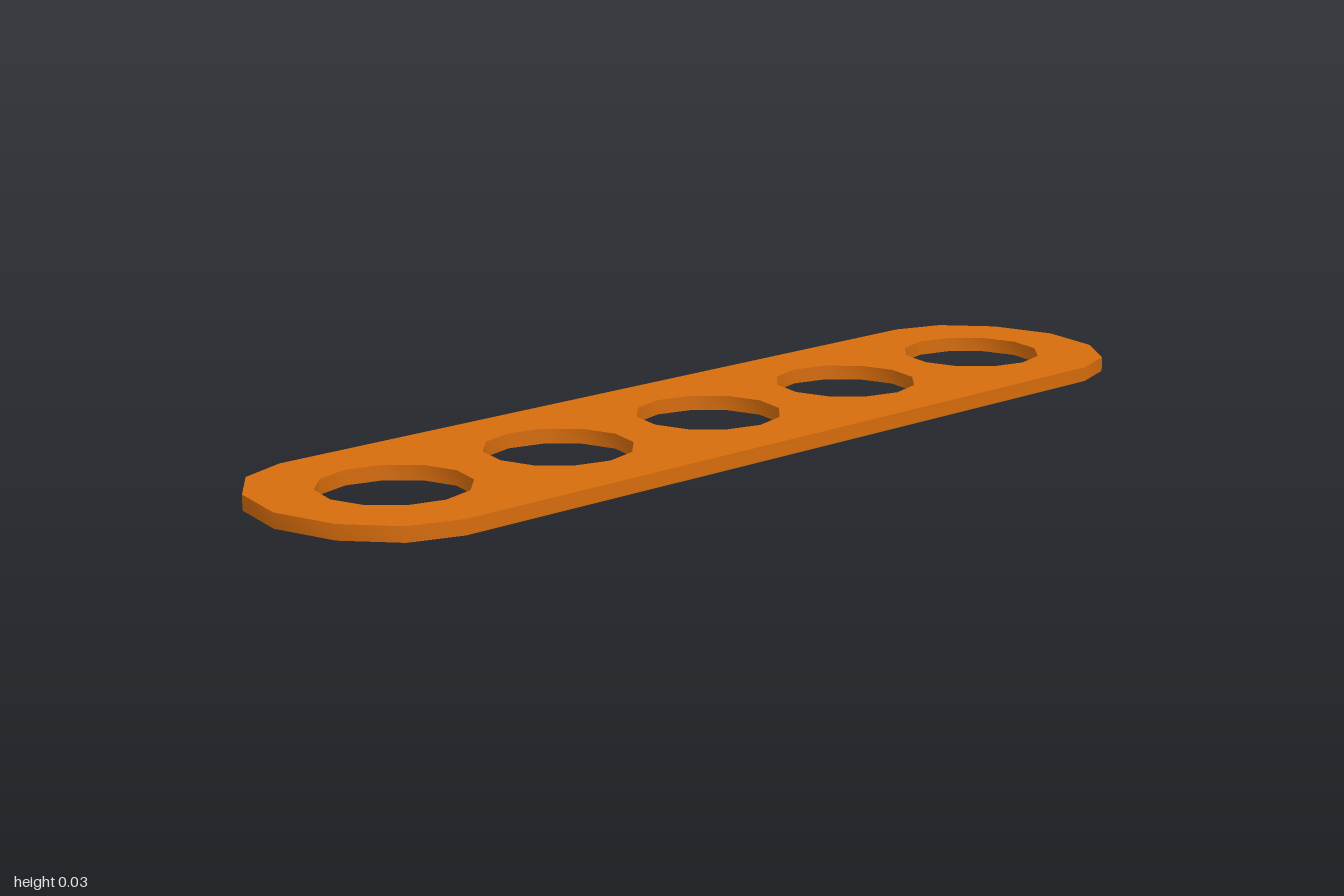
import * as THREE from 'three';
import { toCreasedNormals } from 'three/addons/utils/BufferGeometryUtils.js';

const THICKNESS = 0.028;
const HOLE_RADIUS = 0.137;
const HOLE_SIDES = 12;
const HOLE_SPACING = 0.373;

// Flat strip with faceted round ends
function stripShape() {
  const corner = [[1, 0], [0.97, 0.128], [0.897, 0.218], [0.8, 0.252]];
  const half = [...corner, ...corner.slice().reverse().map(([x, y]) => [-x, y])];
  const lower = half.slice(1, -1).reverse().map(([x, y]) => [x, -y]);
  return new THREE.Shape([...half, ...lower].map(([x, y]) => new THREE.Vector2(x, y)));
}

// Twelve-sided hole
function holePath(cx) {
  const points = [];
  for (let i = 0; i < HOLE_SIDES; i++) {
    const a = -(i / HOLE_SIDES) * Math.PI * 2;
    points.push(new THREE.Vector2(cx + HOLE_RADIUS * Math.cos(a), HOLE_RADIUS * Math.sin(a)));
  }
  return new THREE.Path(points);
}

export function createModel() {
  const group = new THREE.Group();
  group.name = 'perforatedStrip';

  const orange = new THREE.MeshStandardMaterial({ color: 0xd66c0c });
  orange.name = 'orange';

  // Plate with five evenly spaced holes
  const shape = stripShape();
  for (let i = -2; i <= 2; i++) shape.holes.push(holePath(i * HOLE_SPACING));

  const extruded = new THREE.ExtrudeGeometry(shape, { depth: THICKNESS, bevelEnabled: false });
  extruded.rotateX(-Math.PI / 2);

  // Smooth round the rims, sharp at the flat faces
  const geometry = toCreasedNormals(extruded, 0.7);
  geometry.clearGroups();

  const plate = new THREE.Mesh(geometry, orange);
  plate.name = 'plate';
  group.add(plate);
  return group;
}
